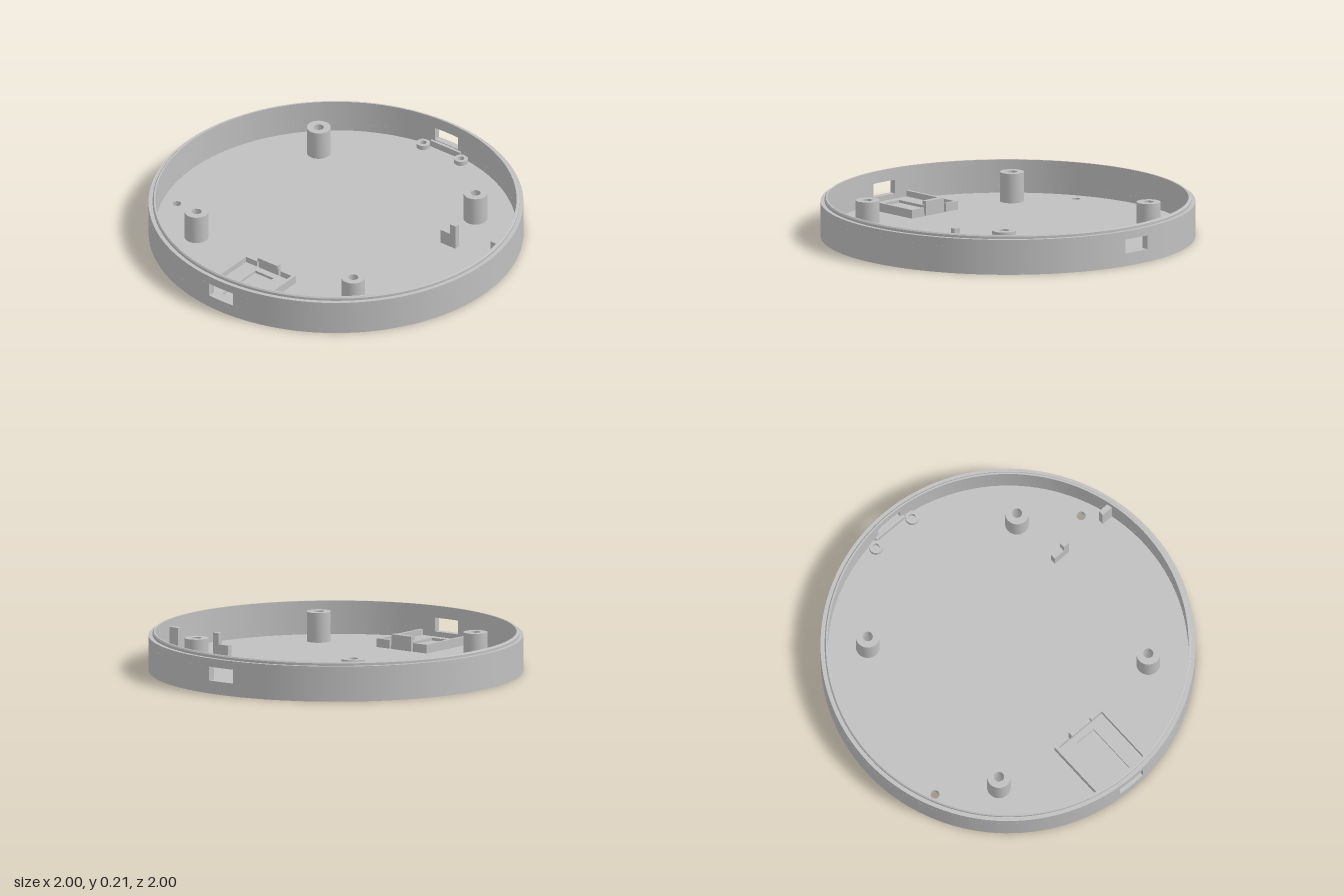
import * as THREE from 'three';
import { toCreasedNormals } from 'three/addons/utils/BufferGeometryUtils.js';

const FLOOR = 0.03, INNER = 0.963, POST = 0.53;

export function createModel() {
  const model = new THREE.Group();
  const grey = new THREE.MeshStandardMaterial({ color: 0xc0c0c0 });
  grey.name = 'greyPlastic';

  const add = (name, geometry) => {
    const mesh = new THREE.Mesh(geometry, grey);
    mesh.name = name;
    model.add(mesh);
    return mesh;
  };
  // Box given by its limits on each axis
  const box = (name, x0, x1, y0, y1, z0, z1) =>
    add(name, new THREE.BoxGeometry(x1 - x0, y1 - y0, z1 - z0))
      .position.set((x0 + x1) / 2, (y0 + y1) / 2, (z0 + z1) / 2);
  // Flat shape raised between two heights
  const slab = (name, shape, y0, y1, segments = 48) => {
    const g = new THREE.ExtrudeGeometry(shape, { depth: y1 - y0, bevelEnabled: false, curveSegments: segments });
    g.rotateX(-Math.PI / 2).translate(0, y0, 0);
    return add(name, toCreasedNormals(g, 0.5));
  };
  const disc = (r, holes = []) => {
    const s = new THREE.Shape().absarc(0, 0, r, 0, Math.PI * 2, false);
    for (const [x, z, hr] of holes) s.holes.push(new THREE.Path().absarc(x, -z, hr, 0, Math.PI * 2, true));
    return s;
  };
  const turned = (name, points, segments) =>
    add(name, toCreasedNormals(new THREE.LatheGeometry(points.map(p => new THREE.Vector2(...p)), segments), 0.5));

  // Floor with screw holes, small vents and round foot recesses underneath
  const corners = [[1, 1], [1, -1], [-1, 1], [-1, -1]].map(([a, b]) => [a * POST, b * POST]);
  const through = [...corners.map(([x, z]) => [x, z, 0.046]), [-0.336, -0.815, 0.024], [0.336, 0.815, 0.024]];
  const feet = [[0.8, 0], [-0.8, 0], [0, 0.8], [0, -0.8]].map(([x, z]) => [x, z, 0.083]);
  slab('floorUnderside', disc(1, [...through, ...feet]), 0, 0.016, 64);
  slab('floor', disc(1, through), 0.016, FLOOR, 64);

  // Outer wall, with a port opening at each end of the x axis
  slab('lowerWall', disc(1, [[0, 0, INNER]]), FLOOR, 0.07, 64);
  slab('upperWall', disc(1, [[0, 0, INNER]]), 0.145, 0.19, 64);
  const gap = 0.081;
  for (const start of [0, Math.PI]) {
    const a = start + gap, b = start + Math.PI - gap;
    const arc = new THREE.Shape().absarc(0, 0, 1, a, b, false);
    arc.absarc(0, 0, INNER, b, a, true);
    arc.closePath();
    slab('middleWall', arc, 0.07, 0.145, 64);
  }

  // Thin locating lip round the top
  turned('rimLip', [[0.978, 0.188], [0.978, 0.203], [0.972, 0.21], [INNER, 0.21], [INNER, 0.188]], 128);

  // Counterbored screw posts
  for (const [x, z] of corners)
    turned('screwPost', [[0.064, FLOOR - 0.005], [0.064, 0.19], [0.027, 0.19], [0.027, 0.13], [0.046, 0.13], [0.046, FLOOR - 0.005]], 32)
      .position.set(x, 0, z);

  // Small mounting bosses beside the port
  for (const z of [-0.128, 0.128])
    turned('portBoss', [[0.037, FLOOR], [0.037, 0.055], [0.018, 0.055], [0.018, FLOOR]], 24)
      .position.set(0.92, 0, z);
  box('portLedge', 0.945, 0.97, FLOOR, 0.066, -0.1, 0.1);

  // Circuit board tray: raised bed with a sunken middle, walls and clip
  const bed = new THREE.Shape([[-0.95, -0.155], [-0.58, -0.155], [-0.58, 0.155], [-0.95, 0.155]].map(p => new THREE.Vector2(...p)));
  bed.holes.push(new THREE.Path([[-0.91, -0.062], [-0.91, 0.062], [-0.62, 0.062], [-0.62, -0.062]].map(p => new THREE.Vector2(...p))));
  slab('trayBed', bed, FLOOR, 0.045);
  for (const side of [-1, 1]) {
    const z0 = side > 0 ? 0.153 : -0.17, e0 = side > 0 ? 0.08 : -0.17;
    box('traySideWall', -0.965, -0.567, FLOOR, 0.077, z0, z0 + 0.017);
    box('trayEndWall', -0.583, -0.567, FLOOR, 0.077, e0, e0 + 0.09);
  }
  box('trayClip', -0.583, -0.565, FLOOR, 0.11, -0.066, 0.066);
  box('trayClipHook', -0.594, -0.58, 0.088, 0.11, -0.066, 0.066);

  // Pair of upright holders, the inner one stepped
  box('innerHolderStep', 0.225, 0.255, FLOOR, 0.11, 0.53, 0.595);
  box('innerHolder', 0.225, 0.255, FLOOR, 0.17, 0.595, 0.632);
  box('outerHolder', 0.225, 0.255, FLOOR, 0.17, 0.87, 0.945);

  return model;
}
